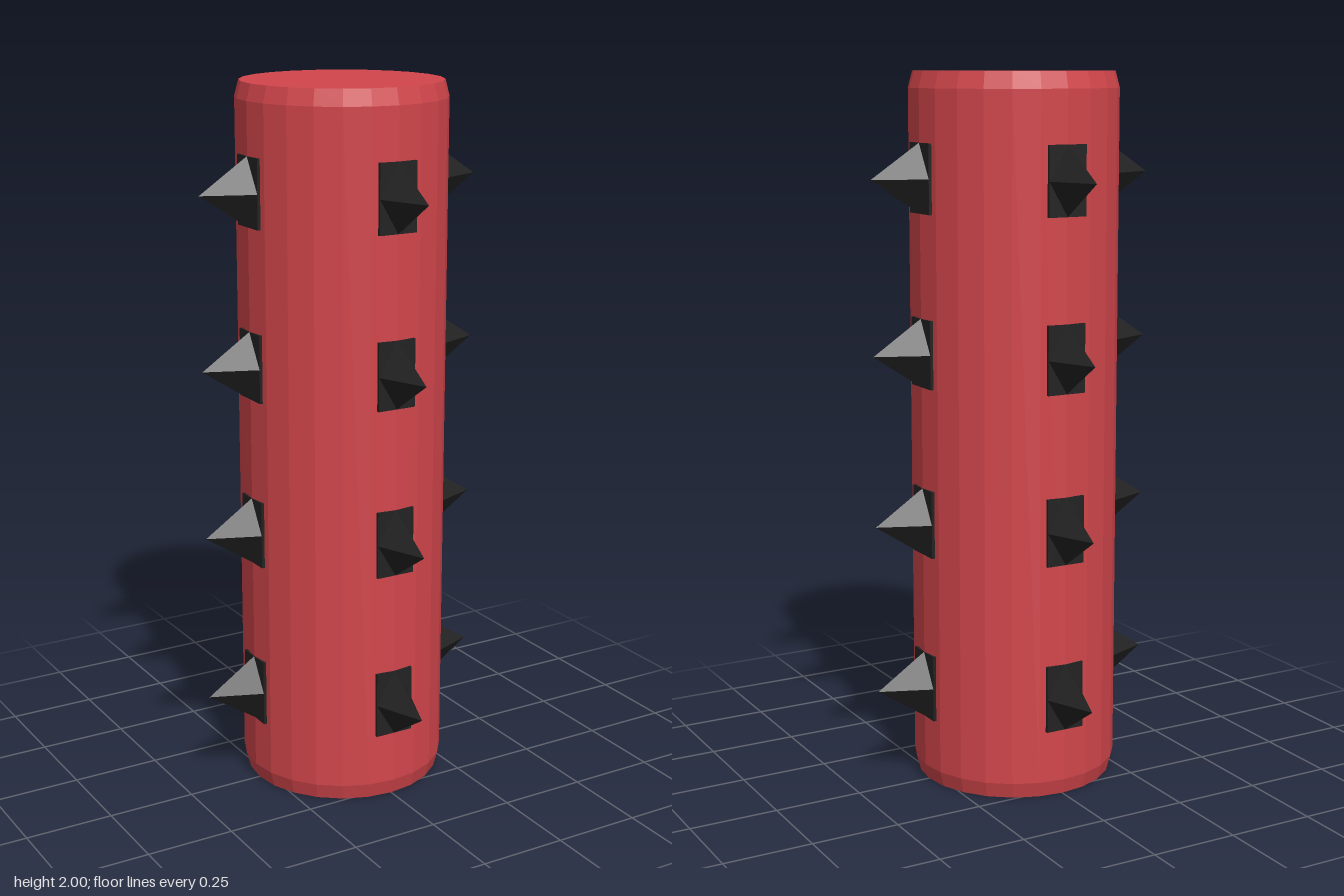
import * as THREE from 'three';

const RED = new THREE.MeshStandardMaterial({ color: 0xd2464b, flatShading: true });
const BLACK = new THREE.MeshStandardMaterial({ color: 0x222222, flatShading: true });

const RADIUS = 0.291;
const HALF_W = 0.057;
const HALF_H = 0.095;
const TIP = 0.436;

// One stud pointing along +z: a thin base plate and a four-sided point
function createSpike() {
  const spike = new THREE.Group();
  spike.name = 'spike';

  const plateFront = RADIUS + 0.001;
  const plate = new THREE.Mesh(new THREE.BoxGeometry(2 * HALF_W, 2 * HALF_H, 0.03), BLACK);
  plate.name = 'spikeBase';
  plate.position.z = plateFront - 0.015;

  const length = TIP - plateFront;
  const coneGeo = new THREE.ConeGeometry(1, length, 4, 1, true);
  coneGeo.scale(HALF_W, 1, HALF_H);
  coneGeo.rotateX(Math.PI / 2);
  const point = new THREE.Mesh(coneGeo, BLACK);
  point.name = 'spikePoint';
  point.position.z = plateFront + length / 2;

  spike.add(plate, point);
  return spike;
}

export function createModel() {
  const model = new THREE.Group();
  model.name = 'spikedPillar';

  // Pillar with bevelled ends
  const profile = [
    [0, 0], [0.279, 0], [RADIUS, 0.045],
    [RADIUS, 1.955], [0.279, 2], [0, 2],
  ].map(([r, y]) => new THREE.Vector2(r, y));
  const pillar = new THREE.Mesh(new THREE.LatheGeometry(profile, 24), RED);
  pillar.name = 'pillar';
  model.add(pillar);

  // Four rings of four spikes
  for (let row = 0; row < 4; row++) {
    const ring = new THREE.Group();
    ring.name = 'spikeRing';
    ring.position.y = 0.288 + row * 0.476;
    for (let side = 0; side < 4; side++) {
      const spike = createSpike();
      spike.rotation.y = side * Math.PI / 2;
      ring.add(spike);
    }
    model.add(ring);
  }
  return model;
}
